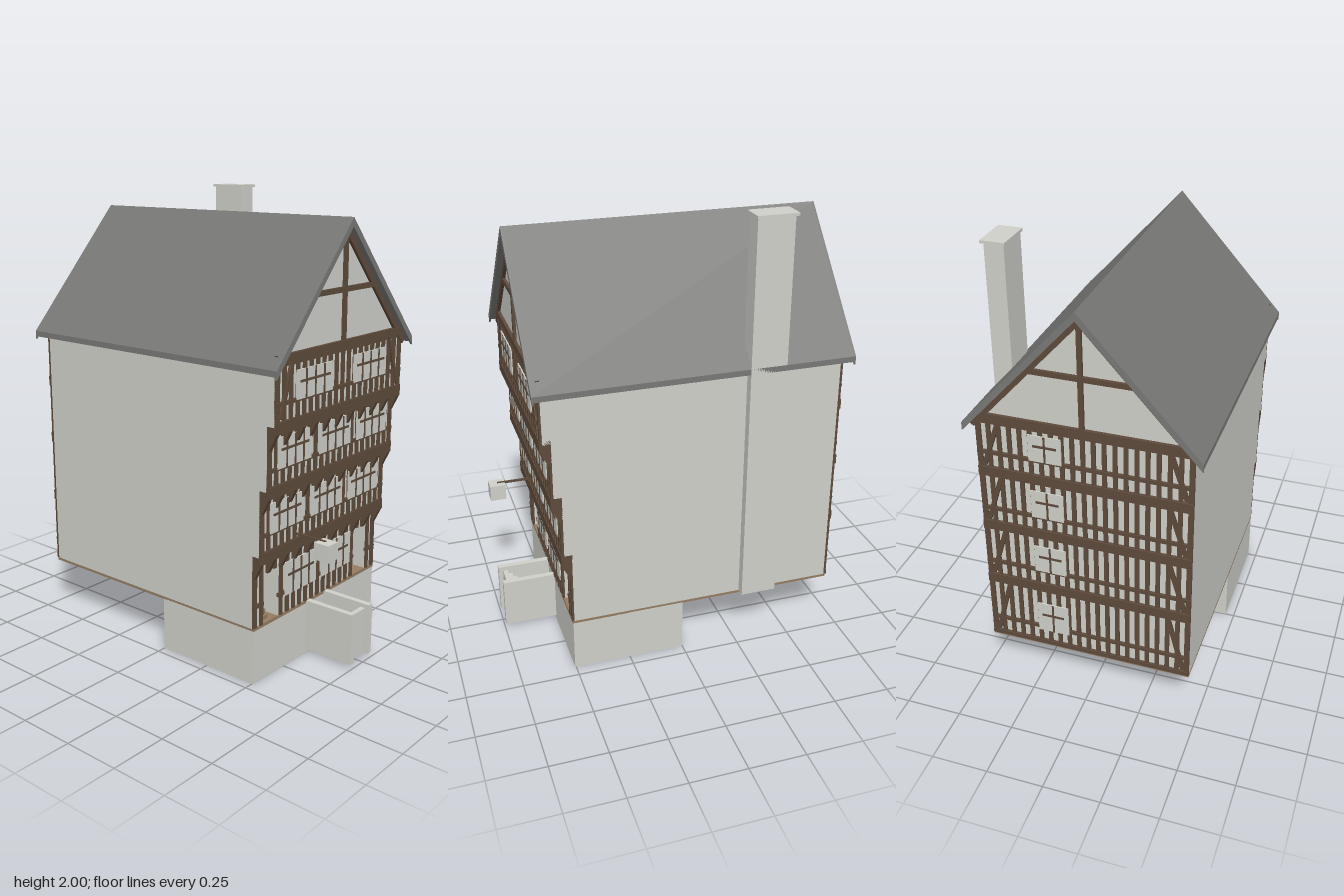
import * as THREE from 'three';

const mat = (name, color, side = THREE.FrontSide) => {
  const m = new THREE.MeshStandardMaterial({ color, side });
  m.name = name;
  return m;
};

export function createModel() {
  const plaster = mat('plaster', 0xd0d0ca);
  const timber = mat('timber', 0x5e4b3c);
  const boards = mat('boards', 0x957d62);
  const slate = mat('slate', 0x787876);
  const house = new THREE.Group();
  house.name = 'timberHouse';

  const part = (name, parent = house) => {
    const g = new THREE.Group();
    g.name = name;
    parent.add(g);
    return g;
  };
  const add = (parent, name, geo, material) => {
    const m = new THREE.Mesh(geo, material);
    m.name = name;
    parent.add(m);
    return m;
  };
  // Box given by its bounds
  const box = (parent, name, material, x0, x1, y0, y1, z0, z1) => {
    const m = add(parent, name, new THREE.BoxGeometry(x1 - x0, y1 - y0, z1 - z0), material);
    m.position.set((x0 + x1) / 2, (y0 + y1) / 2, (z0 + z1) / 2);
    return m;
  };
  // Sloping timber between two points in a plane of constant z
  const beam = (parent, name, x0, y0, x1, y1, w, z, d) => {
    const m = add(parent, name, new THREE.BoxGeometry(Math.hypot(x1 - x0, y1 - y0), w, d), timber);
    m.position.set((x0 + x1) / 2, (y0 + y1) / 2, z);
    m.rotation.z = Math.atan2(y1 - y0, x1 - x0);
  };
  const shapeOf = pts => new THREE.Shape(pts.map(p => new THREE.Vector2(...p)));
  const extrude = (pts, depth) =>
    new THREE.ExtrudeGeometry(shapeOf(pts), { depth, bevelEnabled: false });
  // Profile given as (z, y), extruded along x from x0 to x1
  const alongX = (parent, name, material, pts, x0, x1) => {
    const m = add(parent, name, extrude(pts.map(([z, y]) => [-z, y]), x1 - x0), material);
    m.rotation.y = Math.PI / 2;
    m.position.x = x0;
  };

  const L = -0.46, R = 0.445, C = -0.008, BACK = -0.7;
  const floors = [0.25, 0.57, 0.855, 1.125, 1.375];
  const fronts = [0.5, 0.535, 0.57, 0.605];
  const doors = [[-0.395, -0.295], [0.27, 0.375]];

  // Base and floor slab
  box(house, 'base', plaster, L, R, 0, 0.24, 0, 0.505);
  box(house, 'floorSlab', boards, L, R, 0.238, 0.25, BACK - 0.005, 0.507);

  // Jettied body; the ground floor front is filled in around the doorways
  const walls = part('walls');
  alongX(walls, 'body', plaster, [
    [BACK, 0.25], [0.42, 0.25], [0.42, 0.57], [0.535, 0.57], [0.535, 0.855],
    [0.57, 0.855], [0.57, 1.125], [0.605, 1.125], [0.605, 1.36], [BACK, 1.36],
  ], L, R);
  for (const [a, b] of [[L, -0.395], [-0.295, 0.27], [0.375, R]])
    box(walls, 'groundFront', plaster, a, b, 0.25, 0.57, 0.42, 0.5);
  for (const [a, b] of doors) {
    box(walls, 'lintel', plaster, a, b, 0.475, 0.57, 0.42, 0.5);
    box(walls, 'doorBoards', boards, a, b, 0.36, 0.475, 0.42, 0.428);
    box(walls, 'doorFloor', boards, a, b, 0.25, 0.253, 0.42, 0.507);
  }
  for (let i = 0; i < 5; i++) {
    box(walls, 'innerStep', boards, -0.395, -0.34, 0.25, 0.27 + i * 0.021, 0.475 - i * 0.011, 0.486 - i * 0.011);
  }
  const gable = add(walls, 'gable', extrude(
    [[L, 1.36], [R, 1.36], [C, 1.868]], 0.605 - BACK), plaster);
  gable.position.z = BACK;

  // Timber frame of one storey; dir is +1 for the front and -1 for the back
  const N = 21, step = (R - L - 0.02) / (N - 1);
  const frame = (parent, i, z, dir, rail, gaps) => {
    const zs = (a, b) => dir > 0 ? [z + a, z + b] : [z - b, z - a];
    for (let k = 0; k < N; k++) {
      const x = L + 0.01 + k * step, w = k % (N - 1) ? 0.009 : 0.012;
      const x0 = Math.max(L, x - w), x1 = Math.min(R, x + w);
      const inDoor = gaps.some(([a, b]) => x > a - 0.005 && x < b + 0.005);
      box(parent, 'stud', timber, x0, x1, inDoor ? 0.475 : floors[i], floors[i + 1], ...zs(-0.002, 0.009));
    }
    let from = L;
    for (const [a, b] of [...gaps, [R, R]]) {
      box(parent, 'rail', timber, from, a, rail - 0.008, rail + 0.008, ...zs(-0.002, 0.011));
      from = b;
    }
    if (dir < 0 || i === 3) {
      for (const s of [-1, 1])
        beam(parent, 'brace', C + s * 0.425, floors[i] + 0.03, C + s * 0.35, floors[i + 1], 0.018, z + dir * 0.006, 0.014);
    }
  };
  // Window: pale plate with mullions and a transom
  const windowAt = (parent, x0, x1, y0, y1, z, dir, cols) => {
    const zs = (a, b) => dir > 0 ? [z + a, z + b] : [z - b, z - a];
    box(parent, 'panes', plaster, x0, x1, y0, y1, ...zs(0.008, 0.014));
    for (let k = 1; k < cols; k++) {
      const x = x0 + (x1 - x0) * k / cols;
      box(parent, 'mullion', timber, x - 0.004, x + 0.004, y0, y1, ...zs(0.013, 0.017));
    }
    const t = y0 + (y1 - y0) * 0.6;
    box(parent, 'transom', timber, x0 + 0.02, x1 - 0.02, t - 0.005, t + 0.005, ...zs(0.013, 0.017));
  };

  const upper = [[-0.405, -0.18], [-0.125, 0.105], [0.155, 0.39]];
  const windows = [
    { y: [0.33, 0.48], xs: [[-0.255, -0.03], [0.01, 0.235]] },
    { y: [0.66, 0.79], xs: upper },
    { y: [0.94, 1.07], xs: upper },
    { y: [1.215, 1.335], xs: [[-0.335, -0.09], [0.065, 0.315]] },
  ];
  const front = part('frontFrame'), back = part('backFrame');
  windows.forEach(({ y, xs }, i) => {
    const z = fronts[i], rail = i ? y[0] : 0.345;
    frame(front, i, z, 1, rail, i ? [] : doors);
    frame(back, i, BACK, -1, rail, []);
    for (const [a, b] of xs) windowAt(front, a, b, ...y, z, 1, 4);
    windowAt(back, 0.08, 0.22, ...y, BACK, -1, 2);
    // Storey beams, with a row of brackets under each jetty
    const top = floors[i + 1];
    if (i < 3) {
      box(front, 'jettyBeam', timber, L, R, top - 0.03, top + 0.02, z - 0.002, z + 0.047);
      for (let k = 0; k < N; k += 2) {
        const x = L + 0.01 + k * step;
        alongX(front, 'bracket', timber,
          [[z, top - 0.1], [z + 0.01, top - 0.1], [z + 0.045, top - 0.03], [z, top - 0.03]], x - 0.01, x + 0.01);
      }
    } else {
      box(front, 'topBeam', timber, L, R, 1.375, 1.408, z - 0.002, z + 0.014);
    }
    box(back, 'storeyBeam', timber, L, R, top - 0.022, top + 0.022, BACK - 0.014, BACK + 0.002);
  });
  box(back, 'sill', timber, L, R, 0.25, 0.27, BACK - 0.012, BACK);
  box(front, 'cornice', timber, L, R, 1.36, 1.376, 0.6, 0.613);

  // Gable timbers at both ends
  for (const [g, z] of [[front, 0.611], [back, BACK - 0.006]]) {
    box(g, 'kingPost', timber, C - 0.01, C + 0.01, 1.39, 1.86, z - 0.007, z + 0.007);
    box(g, 'collarBeam', timber, C - 0.235, C + 0.235, 1.605, 1.627, z - 0.007, z + 0.007);
    for (const s of [-1, 1])
      beam(g, 'rafter', C + s * 0.465, 1.338, C, 1.853, 0.024, z, 0.014);
  }

  // Roof slab and its verges
  const roofShape = t => [[-0.5, 1.36], [-0.5, 1.36 - t], [C, 1.905 - t], [0.485, 1.36 - t], [0.485, 1.36], [C, 1.905]];
  const roof = part('roof');
  add(roof, 'roofSlab', extrude(roofShape(0.025), 1.39), slate).position.z = -0.745;
  for (const z of [-0.745, 0.637])
    add(roof, 'verge', extrude(roofShape(0.037), 0.008), slate).position.z = z;

  // Chimney
  const chimney = part('chimney');
  box(chimney, 'stack', plaster, 0.4, 0.485, 0.25, 1.99, -0.43, -0.27);
  box(chimney, 'cap', plaster, 0.392, 0.497, 1.988, 2, -0.44, -0.263);

  // Outside steps between two cheek walls
  const stairs = part('cellarSteps');
  for (const [a, b] of [[-0.09, -0.063], [0.043, 0.07]])
    box(stairs, 'cheekWall', plaster, a, b, 0.02, 0.25, 0.505, 0.745);
  for (let i = 0; i < 10; i++) {
    const z1 = 0.725 - i * 0.022;
    box(stairs, 'step', plaster, -0.063, 0.043, 0.02, 0.232 - i * 0.021, z1 - 0.022, z1);
  }

  // Hanging box on its arm
  const sign = part('hangingBox');
  box(sign, 'arm', timber, -0.234, -0.226, 0.608, 0.618, 0.53, 0.7);
  box(sign, 'panel', plaster, -0.265, -0.198, 0.54, 0.614, 0.665, 0.738);

  return house;
}
